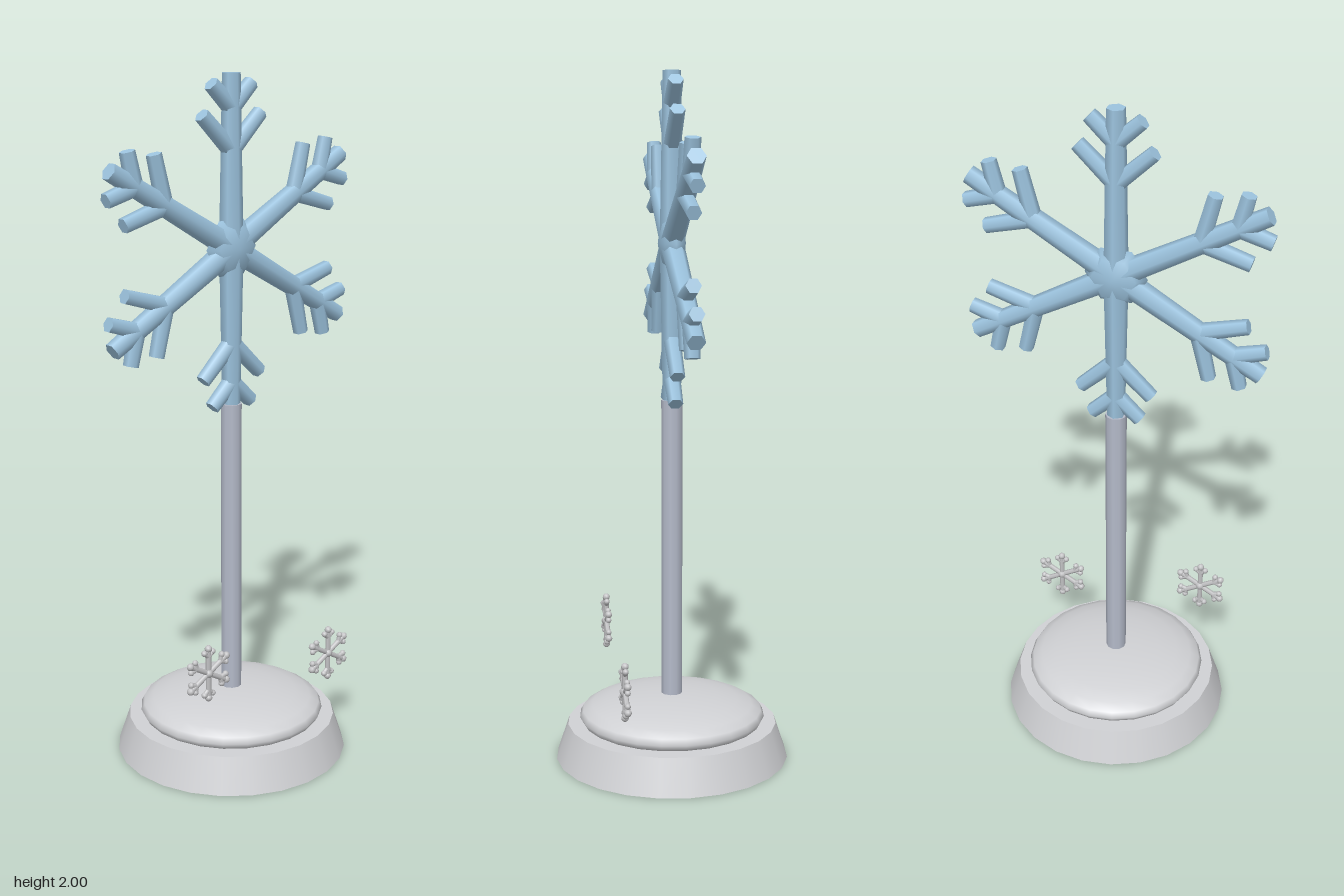
import * as THREE from 'three';

const material = (name, color) => {
  const m = new THREE.MeshStandardMaterial({ color });
  m.name = name;
  return m;
};

export function createModel() {
  const ice = material('ice blue', 0x9cc3de);
  const steel = material('pole grey', 0xb4bac9);
  const stone = material('base grey', 0xd0d1d4);
  const frost = material('frost grey', 0xc4c4c6);

  const add = (parent, name, geometry, mat, x = 0, y = 0, z = 0) => {
    const mesh = new THREE.Mesh(geometry, mat);
    mesh.name = name;
    mesh.position.set(x, y, z);
    parent.add(mesh);
    return mesh;
  };

  // Tapered rod between two points in the flake plane
  const rod = (parent, name, x0, y0, x1, y1, r0, r1, mat) => {
    const length = Math.hypot(x1 - x0, y1 - y0);
    const mesh = add(parent, name, new THREE.CylinderGeometry(r1, r0, length, 6), mat,
      (x0 + x1) / 2, (y0 + y1) / 2);
    mesh.rotation.z = -Math.atan2(x1 - x0, y1 - y0);
  };

  // Six copies of an arm around the centre
  const sixArms = (parent, buildArm) => {
    for (let i = 0; i < 6; i++) {
      const arm = new THREE.Group();
      arm.name = 'flakeArm';
      arm.rotation.z = i * Math.PI / 3;
      buildArm(arm);
      parent.add(arm);
    }
  };

  const model = new THREE.Group();
  model.name = 'snowflakeStand';

  // Stepped round base: sloping foot and flattened dome
  add(model, 'baseFoot', new THREE.CylinderGeometry(0.31, 0.345, 0.105, 24), stone, 0, 0.0525);
  const dome = add(model, 'baseDome', new THREE.SphereGeometry(0.275, 24, 12), stone, 0, 0.125);
  dome.scale.y = 0.065 / 0.275;

  // Pole
  add(model, 'pole', new THREE.CylinderGeometry(0.031, 0.031, 0.92, 10), steel, 0, 0.61);

  // Large snowflake
  const flake = new THREE.Group();
  flake.name = 'largeSnowflake';
  flake.position.y = 1.52;
  model.add(flake);
  const hub = add(flake, 'flakeHub', new THREE.SphereGeometry(0.09, 6, 4), ice);
  hub.rotation.x = Math.PI / 2;
  hub.scale.y = 0.45;
  sixArms(flake, (arm) => {
    rod(arm, 'armRod', 0, 0, 0, 0.48, 0.035, 0.026, ice);
    for (const s of [-1, 1]) {
      rod(arm, 'innerBranch', 0, 0.27, s * 0.105, 0.37, 0.025, 0.022, ice);
      rod(arm, 'outerBranch', 0, 0.385, s * 0.072, 0.452, 0.025, 0.022, ice);
    }
  });

  // Two small floating snowflakes with beaded arms
  for (const [x, y] of [[-0.227, 0.35], [0.24, 0.28]]) {
    const small = new THREE.Group();
    small.name = 'smallSnowflake';
    small.position.set(x, y, 0.17);
    model.add(small);
    add(small, 'smallHub', new THREE.SphereGeometry(0.014, 8, 6), frost);
    sixArms(small, (arm) => {
      rod(arm, 'smallRod', 0, 0, 0, 0.076, 0.008, 0.008, frost);
      add(arm, 'tipBead', new THREE.SphereGeometry(0.011, 8, 6), frost, 0, 0.075);
      for (const s of [-1, 1]) {
        rod(arm, 'smallBranch', 0, 0.05, s * 0.015, 0.064, 0.007, 0.007, frost);
        add(arm, 'sideBead', new THREE.SphereGeometry(0.009, 8, 6), frost, s * 0.015, 0.064);
      }
    });
  }

  return model;
}
